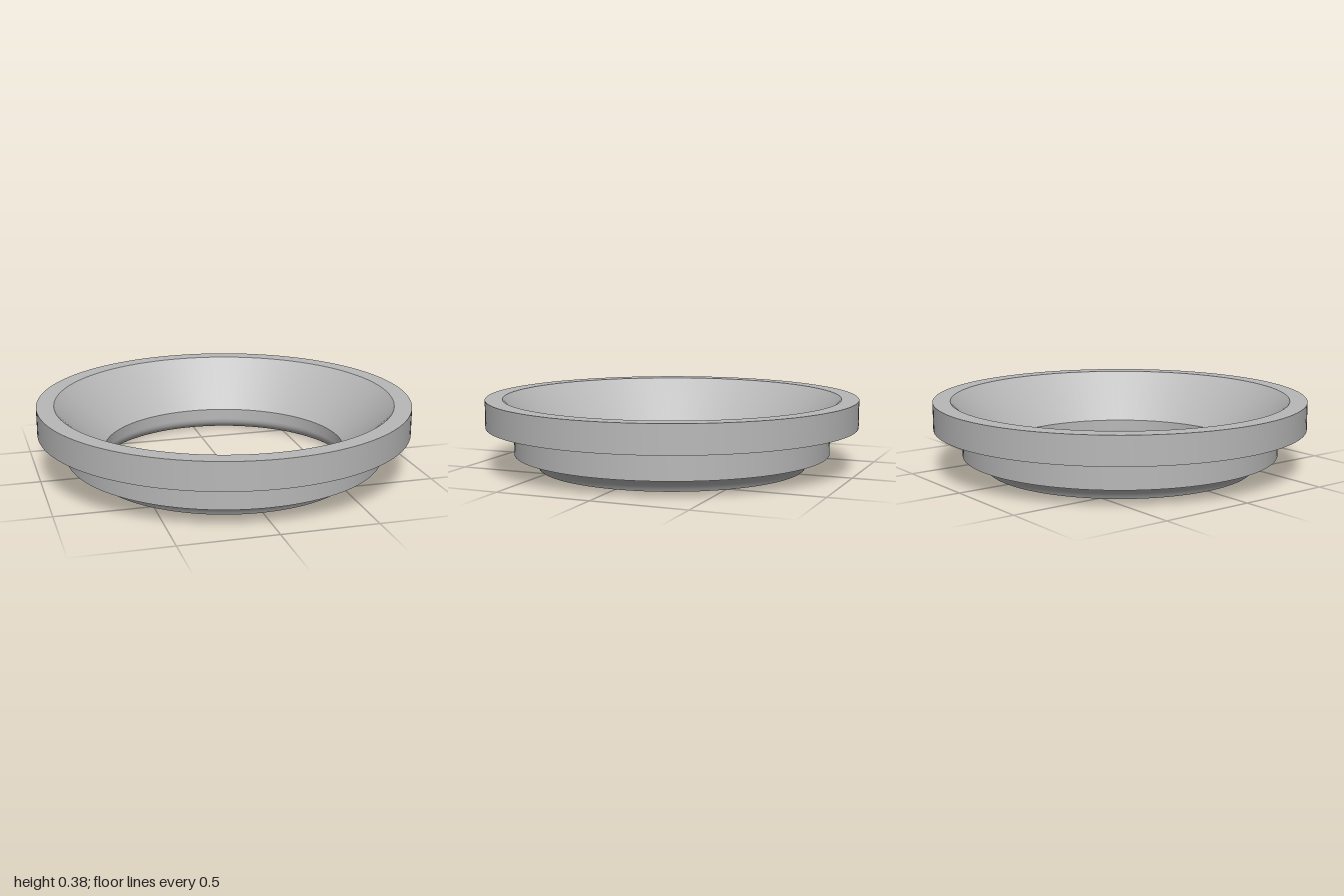
import * as THREE from 'three';

const SEGMENTS = 128;

// Points along a circular arc in the profile plane (radius, height)
function arc(cx, cy, r, from, to, steps) {
  return Array.from({ length: steps + 1 }, (_, i) => {
    const a = from + (to - from) * i / steps;
    return [cx + r * Math.cos(a), cy + r * Math.sin(a)];
  });
}

export function createModel() {
  const group = new THREE.Group();
  group.name = 'flangedRing';
  const grey = new THREE.MeshStandardMaterial({ color: 0xb8b8b8 });
  grey.name = 'satin grey';

  // Concave cove under the body, meeting the foot at radius 0.72
  const coveR = 0.13;
  const coveY = 0.077 - coveR;
  const coveEnd = Math.PI - Math.asin(-coveY / coveR);
  const coveX = 0.72 - coveR * Math.cos(coveEnd);

  // Rounded inner lip at the bottom of the bore
  const lipR = 0.06;
  const bore = 0.648;

  // Closed profile, split at its sharp edges so each surface stays smooth
  const surfaces = {
    cove: [...arc(coveX, coveY, coveR, coveEnd, Math.PI / 2, 14), [0.85, 0.077]],
    bodyWall: [[0.85, 0.077], [0.85, 0.227]],
    flangeUnderside: [[0.85, 0.227], [1, 0.227]],
    flangeWall: [[1, 0.227], [1, 0.375]],
    topRim: [[1, 0.375], [0.907, 0.375]],
    innerCone: [[0.907, 0.375], [bore, 0.119]],
    bore: [[bore, 0.119], [bore, lipR]],
    innerLip: arc(bore + lipR, lipR, lipR, Math.PI, Math.PI * 1.5, 12),
    footRing: [[bore + lipR, 0], [0.72, 0]],
  };

  for (const [name, points] of Object.entries(surfaces)) {
    const profile = points.map(([x, y]) => new THREE.Vector2(x, y));
    const mesh = new THREE.Mesh(new THREE.LatheGeometry(profile, SEGMENTS), grey);
    mesh.name = name;
    group.add(mesh);
  }
  return group;
}
